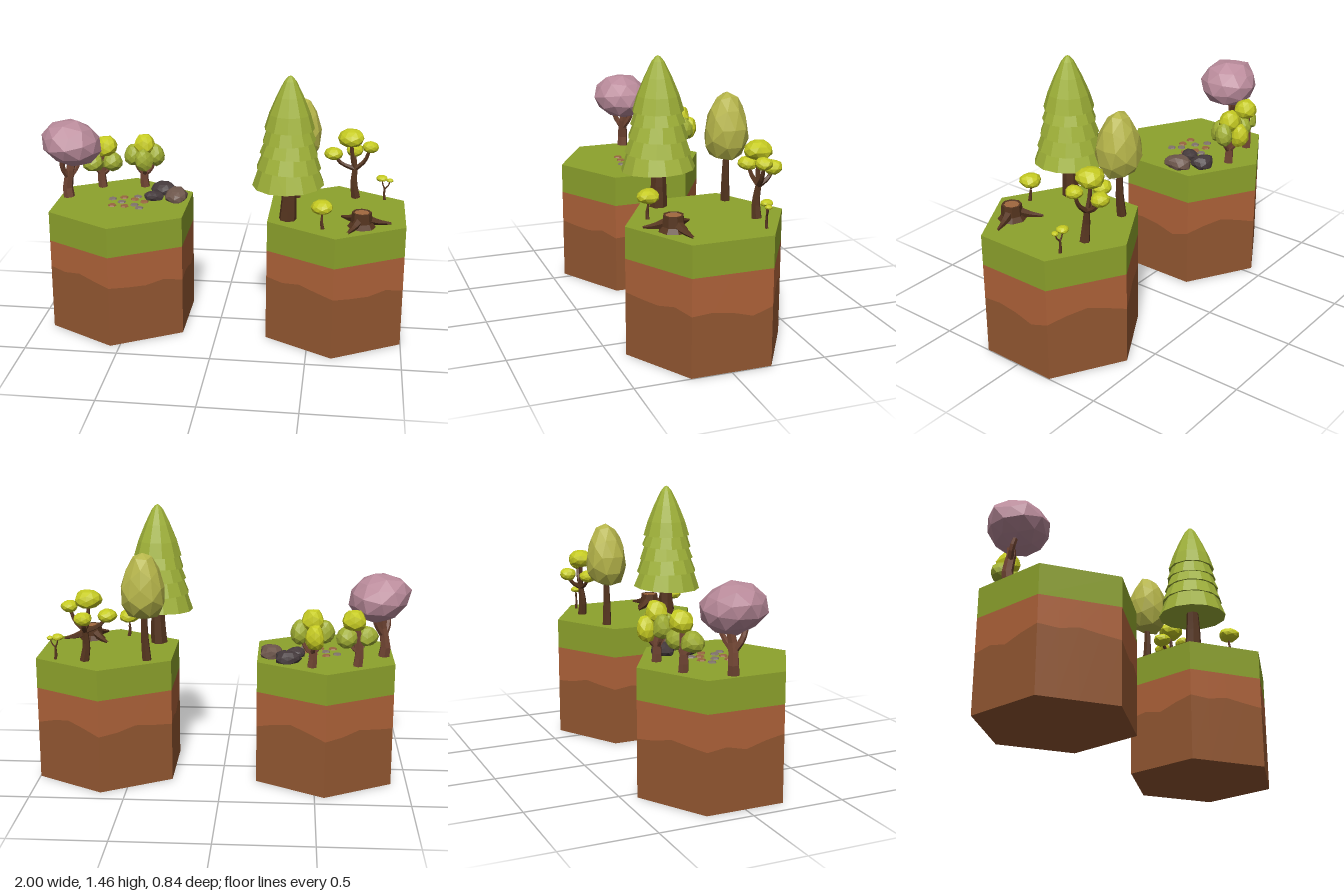
import * as THREE from 'three';

const GROUND = 0.675;
const mat = (color, side = THREE.FrontSide) => new THREE.MeshStandardMaterial({ color, flatShading: true, side });
const M = {
  grass: mat(0x8da22c), clay: mat(0xae6239), soil: mat(0x935731),
  pink: mat(0xbb8c9c), lime: mat(0xc6cb22), leaf: mat(0xa0ae33), olive: mat(0xb6b54a),
  pine: mat(0x9fb138, THREE.DoubleSide), bark: mat(0x56351f), redBark: mat(0x714533),
  wood: mat(0xa1683f), rock: mat(0x453a3c), brownRock: mat(0x6e574c), pebble: mat(0x81736c), redPebble: mat(0x99663f),
};

function add(parent, name, geometry, material, pos = [0, 0, 0]) {
  const mesh = new THREE.Mesh(geometry, material);
  mesh.name = name;
  mesh.position.set(...pos);
  parent.add(mesh);
  return mesh;
}

function group(parent, name) {
  const g = new THREE.Group();
  g.name = name;
  parent.add(g);
  return g;
}

// Faceted lump; taper narrows the top, jitter roughens the facets
function blob(parent, name, material, pos, size, { taper = 0, jitter = 0.1, seed = 1, detail = 1 } = {}) {
  const geo = new THREE.IcosahedronGeometry(1, detail);
  const p = geo.attributes.position;
  const v = new THREE.Vector3();
  for (let i = 0; i < p.count; i++) {
    v.fromBufferAttribute(p, i);
    const key = Math.round(v.x * 50) * 1.3 + Math.round(v.y * 50) * 2.7 + Math.round(v.z * 50) * 4.1;
    v.multiplyScalar(1 + jitter * Math.sin(key + seed * 7.7));
    const k = 1 - taper * v.y;
    p.setXYZ(i, v.x * size[0] * k, v.y * size[1], v.z * size[2] * k);
  }
  geo.computeVertexNormals();
  return add(parent, name, geo, material, pos);
}

// Tapered limb along a smooth path
function limb(parent, name, material, points, r0, r1, sides = 6) {
  const path = new THREE.CatmullRomCurve3(points.map(q => new THREE.Vector3(...q)));
  const n = 5;
  const geo = new THREE.TubeGeometry(path, n, 1, sides);
  const p = geo.attributes.position;
  const v = new THREE.Vector3();
  for (let i = 0; i < p.count; i++) {
    const t = Math.floor(i / (sides + 1)) / n;
    const c = path.getPointAt(t);
    v.fromBufferAttribute(p, i).sub(c).multiplyScalar(r0 + (r1 - r0) * t).add(c);
    p.setXYZ(i, v.x, v.y, v.z);
  }
  return add(parent, name, geo, material);
}

// Hexagonal earth block with a wavy line between two soil layers
const WAVE = [0.335, 0.325, 0.32, 0.34, 0.317, 0.325, 0.31, 0.28, 0.315, 0.345, 0.365, 0.34,
  0.31, 0.32, 0.345, 0.33, 0.32, 0.335, 0.31, 0.34, 0.36, 0.35, 0.368, 0.35];
function band(low, high) {
  const corner = k => new THREE.Vector3(Math.sin(k * Math.PI / 3), 0, Math.cos(k * Math.PI / 3)).multiplyScalar(0.42);
  const at = i => corner(Math.floor(i / 4)).lerp(corner(Math.floor(i / 4) + 1), (i % 4) / 4);
  const out = [];
  for (let i = 0; i < 24; i++) {
    const a = at(i), b = at(i + 1), j = (i + 1) % 24;
    const q = [[a.x, low(i), a.z], [b.x, low(j), b.z], [b.x, high(j), b.z], [a.x, high(i), a.z]];
    for (const k of [0, 1, 2, 0, 2, 3]) out.push(...q[k]);
  }
  const geo = new THREE.BufferGeometry();
  geo.setAttribute('position', new THREE.Float32BufferAttribute(out, 3));
  geo.computeVertexNormals();
  return geo;
}

function island(parent, name, x) {
  const g = group(parent, name);
  g.position.x = x;
  add(g, 'lowerSoil', band(() => 0, i => WAVE[i]), M.soil);
  add(g, 'upperSoil', band(i => WAVE[i], () => 0.51), M.clay);
  add(g, 'grass', new THREE.CylinderGeometry(0.42, 0.42, GROUND - 0.51, 6), M.grass, [0, (GROUND + 0.51) / 2, 0]);
  const base = new THREE.CylinderGeometry(0.42, 0.42, 0.002, 6);
  add(g, 'soilBase', base, M.soil, [0, 0.001, 0]).scale.set(0.999, 1, 0.999);
}

function conifer(parent) {
  const g = group(parent, 'conifer');
  g.position.set(0.375, GROUND, 0.157);
  limb(g, 'trunk', M.bark, [[0, 0, 0], [0.005, 0.12, 0], [0, 0.28, 0]], 0.047, 0.032, 7);
  // Skirts: height of lower edge, edge radius
  [[0.2, 0.19], [0.288, 0.17], [0.365, 0.153], [0.437, 0.14]].forEach(([y, r], i) => {
    const pts = [[0.01, 0.025], [r, 0], [r - 0.045, 0.12]].map(q => new THREE.Vector2(...q));
    const skirt = add(g, 'skirt' + (i + 1), new THREE.LatheGeometry(pts, 13, i * 0.7), M.pine, [0, y, 0]);
    skirt.rotation.set(0.03 * Math.cos(i * 2), 0, 0.04 * Math.sin(i * 2 + 1.6));
  });
  const tip = [[0.01, 0.02], [0.132, 0], [0.108, 0.08], [0.07, 0.172], [0.032, 0.25], [0.012, 0.274], [0, 0.28]];
  add(g, 'crown', new THREE.LatheGeometry(tip.map(q => new THREE.Vector2(...q)), 11), M.pine, [0, 0.5, 0]);
}

function eggTree(parent) {
  const g = group(parent, 'eggTree');
  limb(g, 'trunk', M.bark, [[0.4, GROUND, -0.205], [0.41, 0.8, -0.2], [0.41, 0.98, -0.205]], 0.026, 0.015);
  blob(g, 'crown', M.olive, [0.415, 1.075, -0.2], [0.118, 0.185, 0.115], { taper: 0.26, jitter: 0.035 });
}

function pinkTree(parent) {
  const g = group(parent, 'pinkTree');
  limb(g, 'trunk', M.redBark, [[-0.865, GROUND, -0.05], [-0.872, 0.74, -0.055], [-0.855, 0.82, -0.05], [-0.84, 0.94, -0.07]], 0.032, 0.02);
  limb(g, 'branch', M.redBark, [[-0.863, 0.79, -0.05], [-0.885, 0.85, -0.015], [-0.88, 0.92, 0.01]], 0.018, 0.013);
  limb(g, 'branch', M.redBark, [[-0.858, 0.79, -0.05], [-0.82, 0.85, -0.08], [-0.8, 0.92, -0.1]], 0.018, 0.013);
  blob(g, 'crown', M.pink, [-0.832, 0.995, -0.035], [0.168, 0.127, 0.162], { jitter: 0.05, seed: 3 }).rotation.z = -0.25;
}

// Leafy trees: each crown part is [x, y, z, width, height, material]
function leafyTree(parent, name, x, z, crowns) {
  const g = group(parent, name);
  limb(g, 'trunk', M.redBark, [[x, GROUND, z], [x - 0.006, 0.75, z], [x + 0.01, 0.9, z]], 0.027, 0.017);
  crowns.forEach(([cx, cy, cz, w, h, m], i) => {
    limb(g, 'branch', M.redBark, [[x, 0.75, z], [(x + cx) / 2, 0.775, (z + cz) / 2], [cx, cy, cz]], 0.013, 0.008, 5);
    blob(g, 'crown', m, [cx, cy, cz], [w, h, w], { taper: 0.12, jitter: 0.07, seed: i + 1 });
  });
}

// Thin shrubs: each pad is [x, y, z, width, height]
function shrub(parent, name, root, fork, r, pads) {
  const g = group(parent, name);
  limb(g, 'stem', M.bark, [root, [(root[0] + fork[0]) / 2 - r * 0.3, (root[1] + fork[1]) / 2, root[2]], fork], r, r * 0.6);
  pads.forEach(([x, y, z, w, h], i) => {
    limb(g, 'branch', M.bark, [fork, [(fork[0] + 2 * x) / 3, (fork[1] * 1.2 + y * 0.8) / 2, (fork[2] + 2 * z) / 3], [x, y, z]], r * 0.55, r * 0.3, 5);
    blob(g, 'leafPad', M.lime, [x, y, z], [w, h, w], { jitter: 0.05, seed: i + 2 });
  });
}

function stump(parent) {
  const g = group(parent, 'stump');
  g.position.set(0.765, GROUND, 0.218);
  const profile = [[0.075, 0], [0.056, 0.025], [0.052, 0.08], [0.042, 0.08], [0.04, 0.075]].map(q => new THREE.Vector2(...q));
  add(g, 'stumpBark', new THREE.LatheGeometry(profile, 8), M.bark);
  add(g, 'cutFace', new THREE.CylinderGeometry(0.044, 0.044, 0.004, 8), M.wood, [0, 0.075, 0]);
  for (const [x, z] of [[-0.105, -0.12], [0.155, -0.045], [-0.07, 0.13]]) {
    limb(g, 'root', M.bark, [[x * 0.25, 0.035, z * 0.25], [x * 0.6, 0.018, z * 0.6], [x, 0.008, z]], 0.026, 0.006, 5);
  }
}

export function createModel() {
  const model = new THREE.Group();
  model.name = 'forestIslands';
  island(model, 'rightIsland', -0.55);
  island(model, 'leftIsland', 0.634);

  conifer(model);
  eggTree(model);
  pinkTree(model);
  leafyTree(model, 'smallLeafyTree', -0.715, -0.245, [
    [-0.69, 0.92, -0.245, 0.064, 0.06, M.lime],
    [-0.76, 0.83, -0.215, 0.06, 0.055, M.leaf],
    [-0.655, 0.83, -0.245, 0.058, 0.058, M.leaf],
  ]);
  leafyTree(model, 'bushyTree', -0.475, -0.28, [
    [-0.475, 0.925, -0.28, 0.06, 0.065, M.lime],
    [-0.54, 0.865, -0.275, 0.05, 0.065, M.leaf],
    [-0.41, 0.865, -0.285, 0.05, 0.065, M.leaf],
    [-0.47, 0.85, -0.22, 0.052, 0.065, M.leaf],
    [-0.485, 0.85, -0.34, 0.05, 0.07, M.lime],
  ]);
  shrub(model, 'branchingShrub', [0.73, GROUND, -0.235], [0.72, 0.84, -0.245], 0.027, [
    [0.695, 1.015, -0.25, 0.073, 0.052], [0.6, 0.925, -0.24, 0.052, 0.036],
    [0.8, 0.972, -0.235, 0.045, 0.033], [0.715, 0.925, -0.325, 0.048, 0.038],
  ]);
  shrub(model, 'tinyShrub', [0.89, GROUND, -0.215], [0.888, 0.74, -0.215], 0.009, [
    [0.872, 0.798, -0.22, 0.032, 0.018], [0.916, 0.79, -0.21, 0.018, 0.011],
  ]);
  shrub(model, 'frontShrub', [0.565, GROUND, 0.28], [0.56, 0.74, 0.275], 0.011, [[0.56, 0.793, 0.275, 0.058, 0.038]]);
  stump(model);

  // Rocks and a scatter of flat pebbles
  blob(model, 'rock', M.rock, [-0.35, 0.695, -0.19], [0.07, 0.042, 0.06], { seed: 2 });
  blob(model, 'rock', M.rock, [-0.39, 0.69, -0.07], [0.054, 0.032, 0.044], { seed: 4 });
  blob(model, 'rock', M.brownRock, [-0.262, 0.695, -0.085], [0.063, 0.045, 0.082], { seed: 6 });
  [[-0.615, -0.04, 0], [-0.555, -0.07, 1], [-0.48, -0.09, 0], [-0.49, -0.045, 1], [-0.43, -0.01, 1], [-0.555, 0.005, 0],
    [-0.595, 0.065, 1], [-0.525, 0.07, 1], [-0.475, 0.045, 0], [-0.44, 0.09, 0]].forEach(([x, z, red], i) => {
    const pebble = add(model, 'pebble', new THREE.CylinderGeometry(0.02, 0.025, 0.008, 6), red ? M.redPebble : M.pebble, [x, GROUND + 0.003, z]);
    pebble.rotation.y = i * 0.8;
  });
  return model;
}
